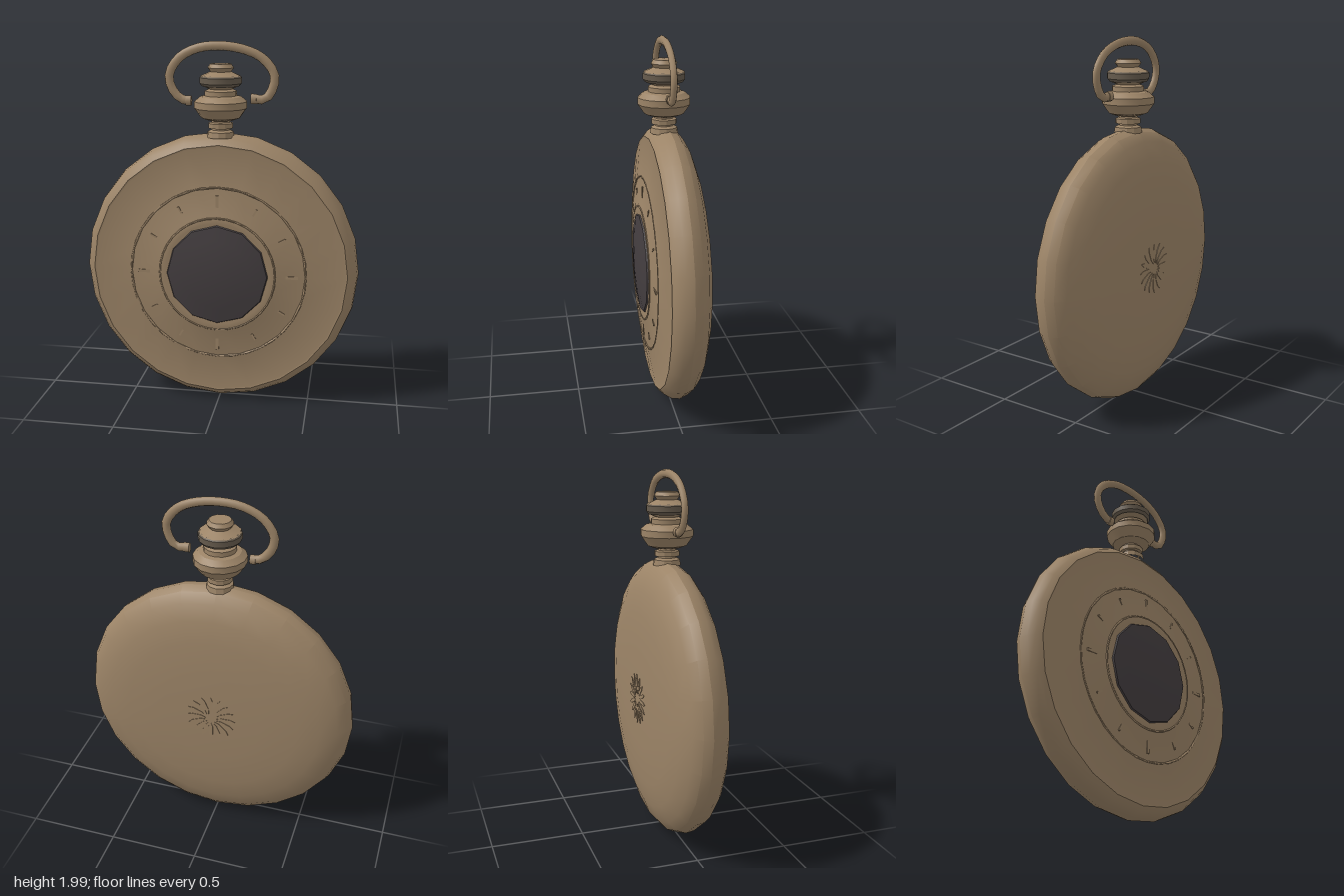
import * as THREE from 'three';
import { toCreasedNormals } from 'three/addons/utils/BufferGeometryUtils.js';

const CENTER_Y = 0.768;

export function createModel() {
  const model = new THREE.Group();
  model.name = 'pocketWatch';
  const brass = new THREE.MeshStandardMaterial({ name: 'aged brass', color: 0x9c8467 });
  const glass = new THREE.MeshStandardMaterial({ name: 'dark glass', color: 0x443e40 });
  const band = new THREE.MeshStandardMaterial({ name: 'dark bronze', color: 0x665b4d });

  const add = (parent, name, geometry, material) => {
    const mesh = new THREE.Mesh(geometry, material);
    mesh.name = name;
    parent.add(mesh);
    return mesh;
  };
  // Turned part from [radius, height] pairs listed bottom to top
  const turned = (profile, sides, crease = 0.5) => toCreasedNormals(
    new THREE.LatheGeometry(profile.map(([r, h]) => new THREE.Vector2(r, h)), sides), crease);

  // Watch body: turned about y, then faced toward +z
  const body = new THREE.Group();
  body.name = 'watchBody';
  body.position.y = CENTER_Y;
  body.rotation.x = Math.PI / 2;
  model.add(body);

  // Case: domed back, rounded rim, gently raised front cover with a dial step
  add(body, 'case', turned([
    [0, -0.172], [0.28, -0.17], [0.48, -0.158], [0.6, -0.138], [0.69, -0.105],
    [0.738, -0.065], [0.757, -0.02], [0.75, 0.025], [0.727, 0.062],
    [0.7, 0.083], [0.69, 0.08], [0.48, 0.114], [0.475, 0.111],
    [0.33, 0.126], [0.31, 0.133], [0.285, 0.13], [0, 0.13],
  ], 24), brass);

  // Faceted dark window with a low peak
  add(body, 'window', turned([
    [0.28, 0.125], [0.272, 0.138], [0.19, 0.15], [0, 0.17],
  ], 12), glass);

  // Raised outlines around the dial and the window
  for (const [name, radius, z] of [['dialRing', 0.48, 0.112], ['windowRing', 0.315, 0.13]]) {
    const ring = new THREE.TorusGeometry(radius, 0.005, 5, 36);
    ring.rotateX(Math.PI / 2);
    add(body, name, ring, brass).position.y = z;
  }

  // Twelve hour marks, heavier at the quarters
  for (let i = 0; i < 12; i++) {
    const a = i * Math.PI / 6;
    const quarter = i % 3 === 0;
    const mark = add(body, 'hourMark',
      new THREE.BoxGeometry(quarter ? 0.016 : 0.01, 0.008, quarter ? 0.065 : 0.04), brass);
    mark.position.set(Math.sin(a) * 0.405, 0.118, -Math.cos(a) * 0.405);
    mark.rotation.y = -a;
  }

  // Rosette of thin petals on the back
  for (let i = 0; i < 16; i++) {
    const a = i * Math.PI / 8;
    const petal = add(body, 'backPetal', new THREE.CylinderGeometry(0.012, 0.012, 0.004, 6), brass);
    petal.scale.z = 4.5;
    petal.position.set(Math.sin(a) * 0.085, -0.172, Math.cos(a) * 0.085);
    petal.rotation.y = a;
  }

  // Neck, pendant and winding crown
  add(model, 'neck', turned([
    [0.075, 1.5], [0.07, 1.53], [0.05, 1.54], [0.05, 1.548], [0.067, 1.55],
    [0.067, 1.575], [0.05, 1.58], [0.05, 1.6],
  ], 12), brass);
  add(model, 'pendant', turned([
    [0, 1.59], [0.07, 1.592], [0.105, 1.605], [0.14, 1.655], [0.14, 1.69],
    [0.11, 1.715], [0.085, 1.72], [0.085, 1.745], [0.062, 1.755], [0.1, 1.772], [0, 1.775],
  ], 14), brass);
  add(model, 'crownBand', turned([
    [0, 1.768], [0.1, 1.77], [0.112, 1.785], [0.112, 1.815], [0.1, 1.825], [0, 1.825],
  ], 14), band);
  add(model, 'crownTop', turned([
    [0.108, 1.822], [0.075, 1.836], [0.056, 1.845], [0.07, 1.865], [0.057, 1.885], [0, 1.888],
  ], 12), brass);

  // Open bow with turned-in ends
  const path = new THREE.CatmullRomCurve3([
    [-0.165, 1.69], [-0.215, 1.70], [-0.265, 1.76], [-0.275, 1.83], [-0.22, 1.915],
    [-0.12, 1.965], [0, 1.977], [0.12, 1.96], [0.22, 1.915], [0.283, 1.83],
    [0.27, 1.75], [0.235, 1.705], [0.18, 1.705],
  ].map(([x, y]) => new THREE.Vector3(x, y, 0)));
  add(model, 'bow', new THREE.TubeGeometry(path, 28, 0.024, 8), brass).scale.z = 0.75;

  // Pivots closing the bow's ends
  for (const [x, y] of [[-0.172, 1.69], [0.176, 1.705]]) {
    const pivot = add(model, 'bowPivot', new THREE.CylinderGeometry(0.027, 0.027, 0.03, 8), brass);
    pivot.rotation.z = Math.PI / 2;
    pivot.scale.z = 0.8;
    pivot.position.set(x, y, 0);
  }
  return model;
}
